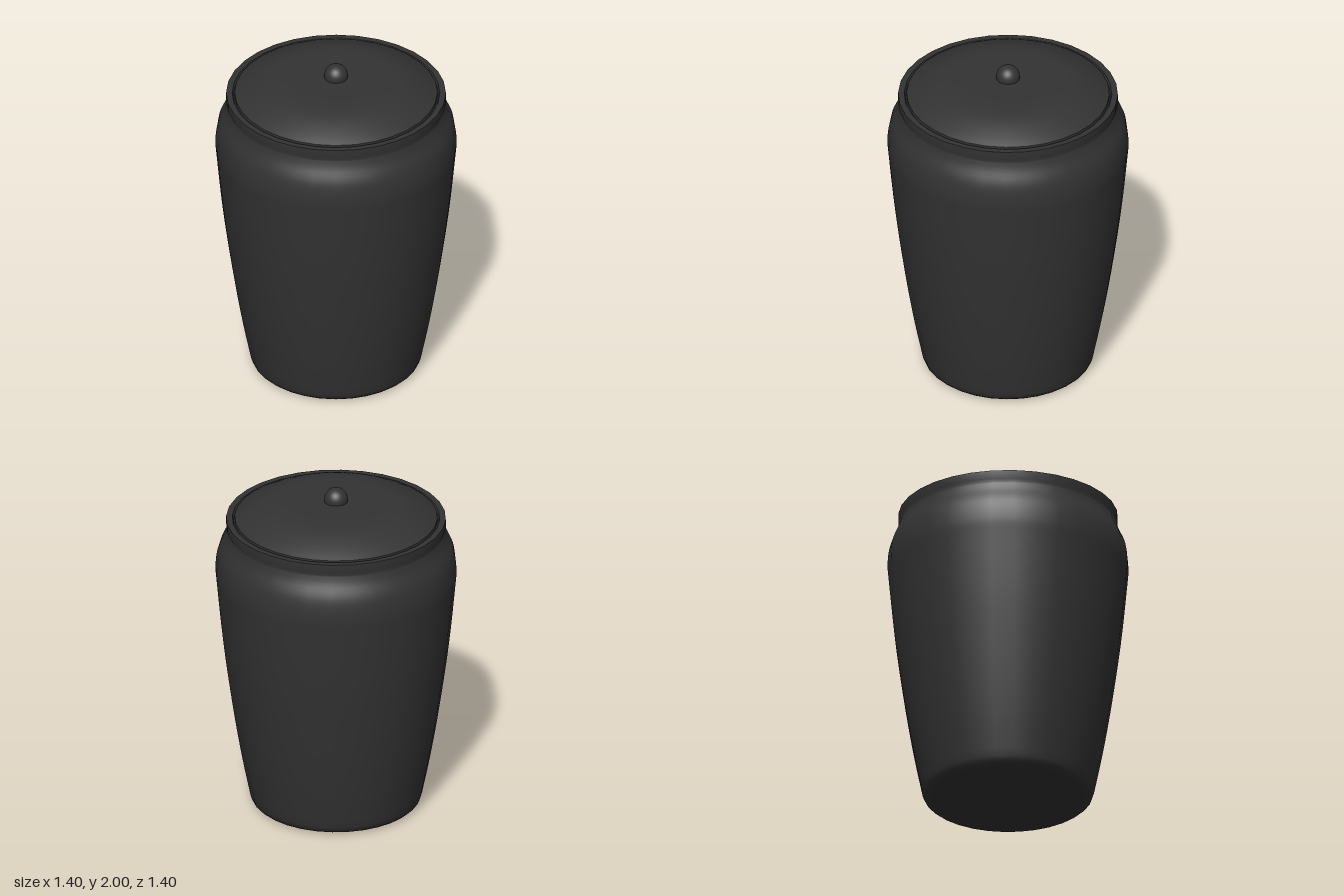
import * as THREE from 'three';
import { toCreasedNormals } from 'three/addons/utils/BufferGeometryUtils.js';

const SIDES = 32;

export function createModel() {
  const group = new THREE.Group();
  const material = new THREE.MeshStandardMaterial({ color: 0x333333 });

  const v = ([r, y]) => new THREE.Vector2(r, y);
  const smooth = (points, n) => new THREE.SplineCurve(points.map(v)).getPoints(n);
  const add = (name, geometry) => {
    const mesh = new THREE.Mesh(geometry, material);
    mesh.name = name;
    group.add(mesh);
    return mesh;
  };
  const turn = (name, profile) =>
    add(name, toCreasedNormals(new THREE.LatheGeometry(profile, SIDES), 0.65));

  // Tapered body: rounded foot, swelling shoulder, narrow neck and upright rim
  turn('jarBody', [
    ...[[0, 0], [0.44, 0.003], [0.475, 0.01], [0.49, 0.023]].map(v),
    ...smooth([[0.5, 0.05], [0.55, 0.3], [0.6, 0.6], [0.655, 1], [0.692, 1.37],
      [0.7, 1.49], [0.686, 1.6], [0.648, 1.69], [0.633, 1.74]], 32),
    ...[[0.638, 1.757], [0.638, 1.81], [0.603, 1.81], [0.596, 1.79], [0.55, 1.785]].map(v),
  ]);

  // Shallow domed lid seated inside the rim
  turn('lid', [
    ...[[0.57, 1.785], [0.589, 1.79]].map(v),
    ...smooth([[0.589, 1.815], [0.54, 1.843], [0.47, 1.876], [0.4, 1.9],
      [0.32, 1.912], [0.2, 1.915]], 16),
    v([0, 1.916]),
  ]);

  // Round lid knob
  add('lidKnob', new THREE.SphereGeometry(0.069, 32, 20)).position.y = 1.931;

  return group;
}
